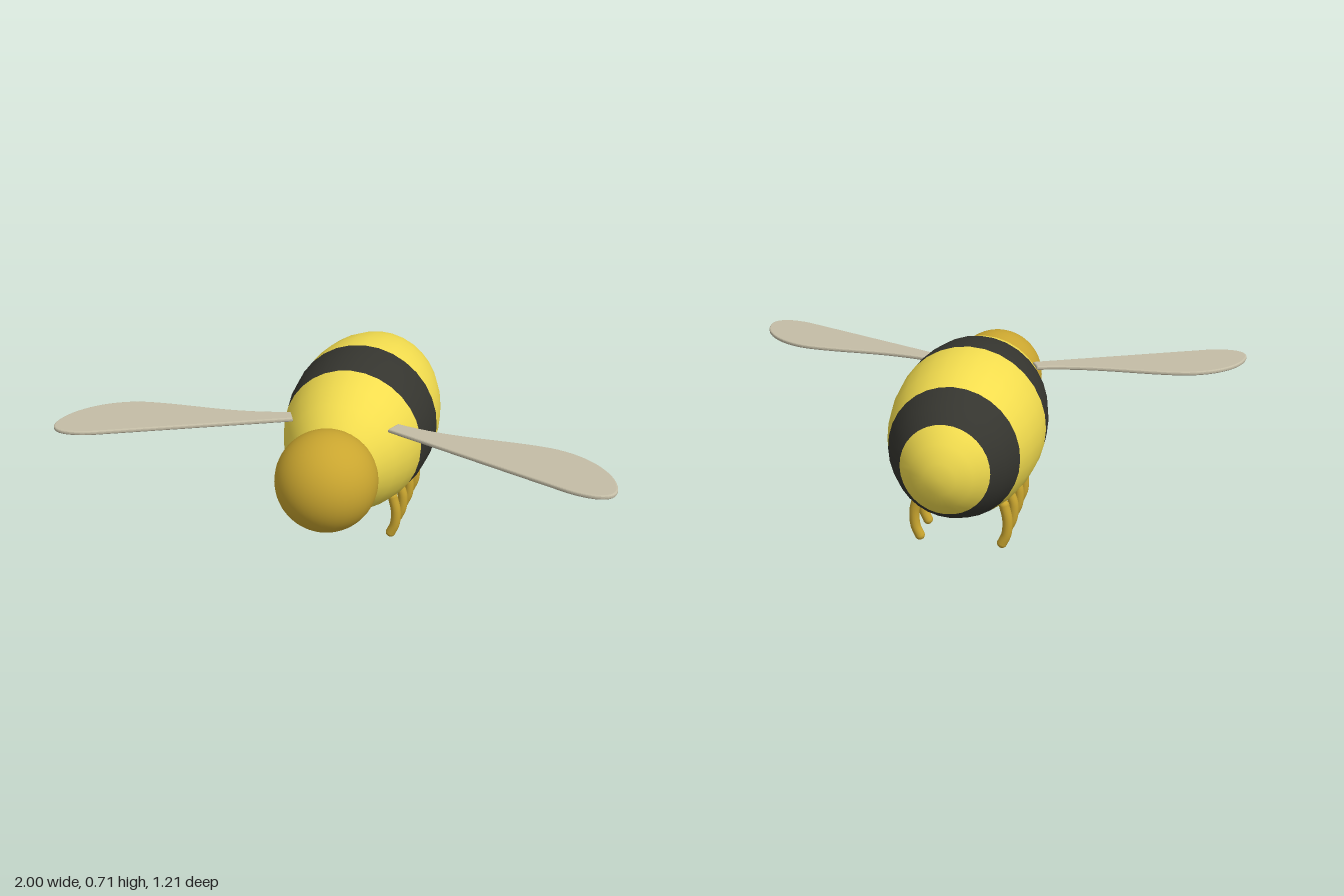
import * as THREE from 'three';

const material = (color, extra = {}) => new THREE.MeshStandardMaterial({ color, ...extra });

function addMesh(parent, name, geometry, mat) {
  const mesh = new THREE.Mesh(geometry, mat);
  mesh.name = name;
  parent.add(mesh);
  return mesh;
}

export function createModel() {
  const bee = new THREE.Group();
  bee.name = 'bee';
  const yellow = material(0xf2dc4e);
  const black = material(0x35352f);
  const amber = material(0xc9a52f);
  const wingMat = material(0xc4bda6, { side: THREE.DoubleSide });

  // Body: one ellipsoid cut into coloured bands along z (rows of 16, nose to tail)
  const body = new THREE.Group();
  body.name = 'body';
  body.position.set(0.004, 0.41, -0.105);
  bee.add(body);
  const cuts = [0, 6, 8, 11, 13, 16];
  const bandNames = ['thorax', 'frontStripe', 'middleBand', 'rearStripe', 'tail'];
  bandNames.forEach((name, i) => {
    const rows = cuts[i + 1] - cuts[i];
    const band = new THREE.SphereGeometry(1, 32, rows, 0, Math.PI * 2,
      cuts[i] * Math.PI / 16, rows * Math.PI / 16);
    band.rotateX(Math.PI / 2).scale(0.288, 0.305, 0.5);
    addMesh(body, name, band, i % 2 ? black : yellow);
  });

  // Head
  addMesh(bee, 'head', new THREE.SphereGeometry(0.183, 40, 28), amber)
    .position.set(0, 0.414, 0.422);

  // Wings: thin paddles with a softly bevelled rim, drawn as (x, z)
  const outline = new THREE.Shape();
  outline.moveTo(0.185, 0.232);
  outline.lineTo(0.205, 0.19);
  outline.bezierCurveTo(0.42, 0.25, 0.56, 0.22, 0.73, 0.238);
  outline.bezierCurveTo(0.87, 0.25, 0.985, 0.36, 0.992, 0.47);
  outline.bezierCurveTo(0.995, 0.54, 0.92, 0.54, 0.84, 0.512);
  outline.lineTo(0.185, 0.232);
  const wing = new THREE.ExtrudeGeometry(outline, {
    depth: 0.004, curveSegments: 16,
    bevelEnabled: true, bevelThickness: 0.006, bevelSize: 0.006, bevelSegments: 3,
  });
  wing.rotateX(Math.PI / 2).translate(0, 0.542, 0);

  // Legs: curved tubes bowing outward, with rounded feet
  const legRadius = 0.019;
  const legs = [[0.075, 0.195], [-0.047, 0.18], [-0.165, 0.18], [-0.292, 0.195]];

  for (const side of [1, -1]) {
    const label = side > 0 ? 'left' : 'right';
    addMesh(bee, label + 'Wing', wing, wingMat).scale.x = side;

    legs.forEach(([z, top], i) => {
      const leg = new THREE.Group();
      leg.name = `${label}Leg${i + 1}`;
      bee.add(leg);
      const foot = new THREE.Vector3(side * 0.157, 0.021, z);
      const path = new THREE.CatmullRomCurve3([
        new THREE.Vector3(side * 0.163, top - 0.015, z),
        new THREE.Vector3(side * 0.176, 0.12, z),
        new THREE.Vector3(side * 0.173, 0.06, z),
        foot,
      ]);
      addMesh(leg, 'shin', new THREE.TubeGeometry(path, 16, legRadius, 14), amber);
      for (const end of [path.getPoint(0), foot]) {
        addMesh(leg, 'roundEnd', new THREE.SphereGeometry(legRadius, 14, 10), amber)
          .position.copy(end);
      }
    });
  }
  return bee;
}
